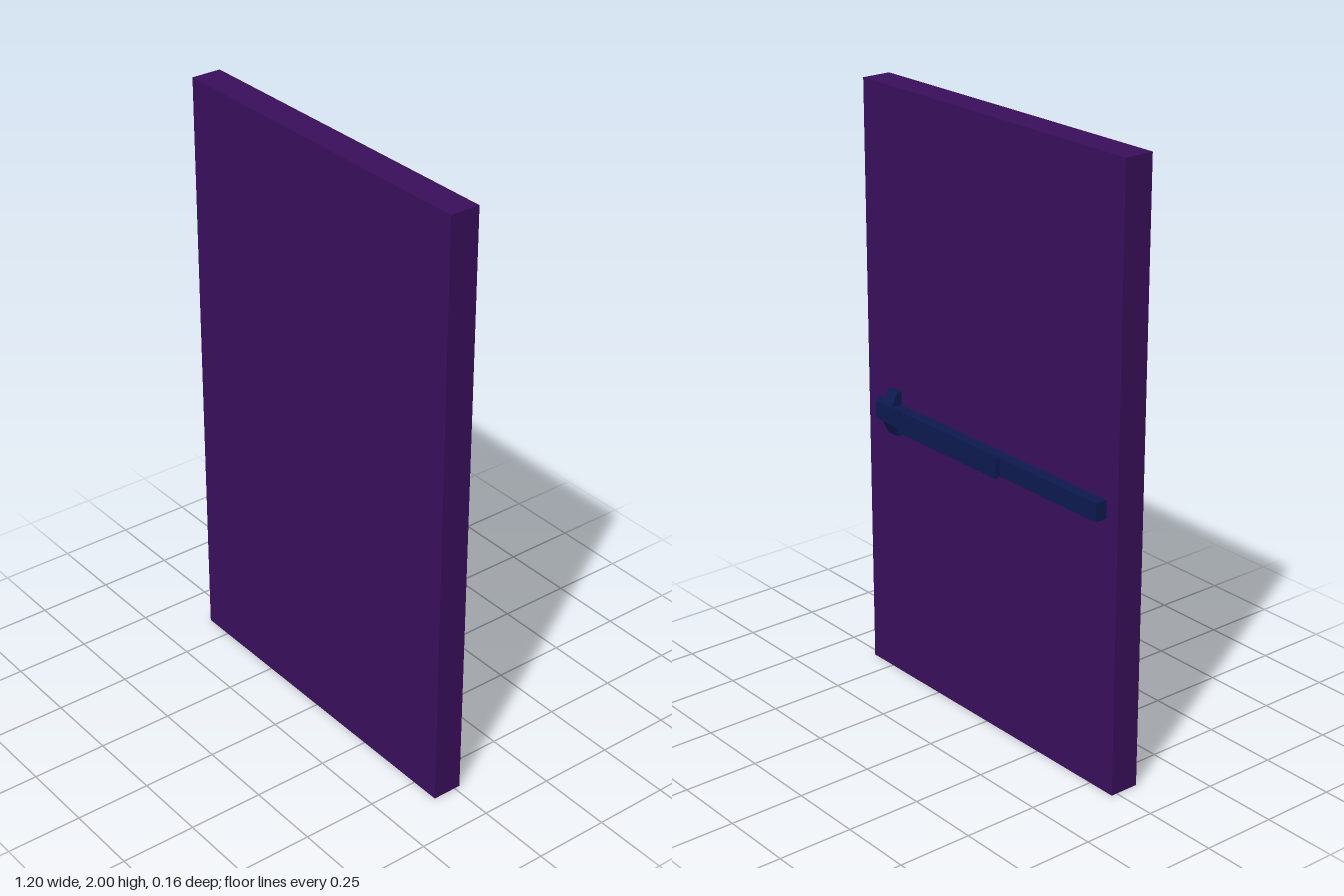
import * as THREE from 'three';

const doorMaterial = new THREE.MeshStandardMaterial({ color: 0x3a0f5c });
const barMaterial = new THREE.MeshStandardMaterial({ color: 0x0d1a50 });
const BAR_Y = 0.935; // height of the bar's centre line

function box(name, material, [x0, x1], [y0, y1], [z0, z1]) {
  const mesh = new THREE.Mesh(new THREE.BoxGeometry(x1 - x0, y1 - y0, z1 - z0), material);
  mesh.position.set((x0 + x1) / 2, (y0 + y1) / 2, (z0 + z1) / 2);
  mesh.name = name;
  return mesh;
}

function extrude(points, depth) {
  const shape = new THREE.Shape(points.map(([a, b]) => new THREE.Vector2(a, b)));
  return new THREE.ExtrudeGeometry(shape, { depth, bevelEnabled: false });
}

export function createModel() {
  const model = new THREE.Group();
  model.name = 'doorWithPushBar';

  // Door leaf
  model.add(box('doorLeaf', doorMaterial, [-0.6, 0.6], [0, 2], [-0.02, 0.08]));

  // Long rail across the back
  model.add(box('rail', barMaterial, [-0.55, 0.383], [BAR_Y - 0.03, BAR_Y + 0.03], [-0.06, -0.02]));

  // Push pad, flared towards its outer face
  const padGeometry = new THREE.BoxGeometry(0.483, 0.064, 0.018);
  const p = padGeometry.attributes.position;
  for (let i = 0; i < p.count; i++) {
    if (p.getZ(i) < 0) continue;
    p.setY(i, p.getY(i) * 0.78);
    if (p.getX(i) > 0) p.setX(i, p.getX(i) - 0.01);
  }
  padGeometry.computeVertexNormals();
  const pad = new THREE.Mesh(padGeometry, barMaterial);
  pad.position.set(0.1265, BAR_Y, -0.071);
  pad.name = 'pushPad';
  model.add(pad);

  // Latch head: sloped block crossed by an upright with tapered ends
  const head = new THREE.Group();
  head.name = 'latchHead';
  const blockGeometry = extrude([[0.387, 0.02], [0.548, 0.02], [0.513, 0.06], [0.387, 0.06]], 0.06);
  blockGeometry.rotateX(-Math.PI / 2); // profile depth now runs along -z
  const block = new THREE.Mesh(blockGeometry, barMaterial);
  block.position.y = BAR_Y - 0.03;
  block.name = 'latchBlock';

  const uprightGeometry = extrude(
    [[0.02, -0.075], [0.036, -0.075], [0.06, -0.028], [0.06, 0.028], [0.036, 0.075], [0.02, 0.075]], 0.05);
  uprightGeometry.rotateY(Math.PI / 2); // profile depth now runs along +x
  const upright = new THREE.Mesh(uprightGeometry, barMaterial);
  upright.position.set(0.43, BAR_Y, 0);
  upright.name = 'latchUpright';
  head.add(block, upright);
  model.add(head);

  return model;
}
